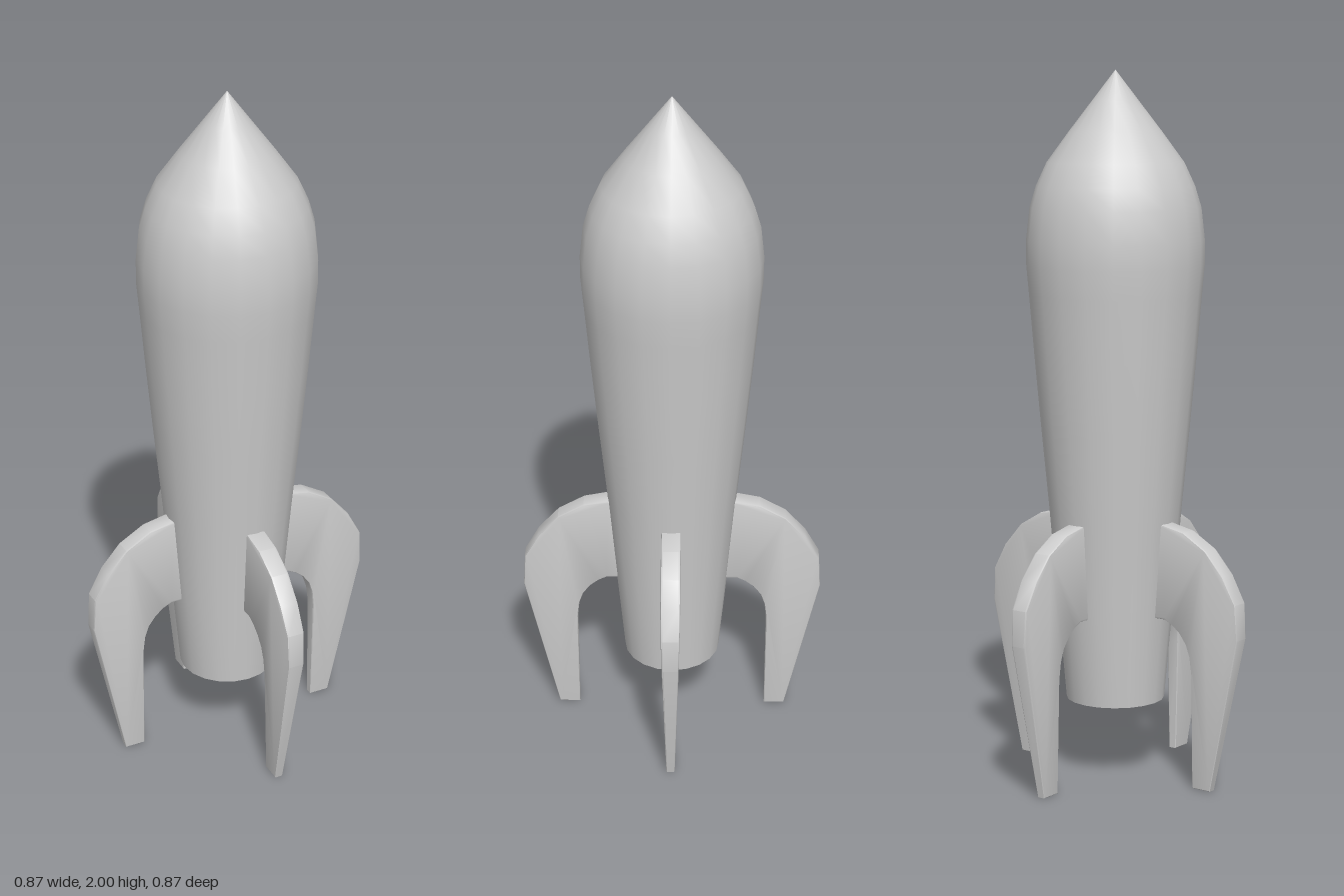
import * as THREE from 'three';
import { toCreasedNormals } from 'three/addons/utils/BufferGeometryUtils.js';

const material = new THREE.MeshStandardMaterial({ color: 0xcccccc });
const vectors = (list) => list.map(([x, y]) => new THREE.Vector2(x, y));

// Hull and hollow nozzle, turned as one closed profile
function createHull() {
  const profile = vectors([
    [0, 0.36], [0.09, 0.36], [0.09, 0.22], [0.14, 0.22],
    [0.165, 0.5], [0.188, 0.77], [0.21, 1.0], [0.228, 1.2], [0.243, 1.38],
    [0.25, 1.46], [0.25, 1.53], [0.24, 1.62], [0.222, 1.68], [0.192, 1.745],
    [0.13, 1.83], [0.065, 1.915], [0, 2],
  ]);
  const mesh = new THREE.Mesh(toCreasedNormals(new THREE.LatheGeometry(profile, 20), 0.6), material);
  mesh.name = 'hull';
  return mesh;
}

// Curved fin with a leg, bevelled all round and thinning towards its foot
function createFinGeometry() {
  const bevel = 0.006, thickness = 0.056;
  const outline = new THREE.Shape(vectors([
    [0.12, 0.477], [0.19, 0.477], [0.215, 0.465], [0.24, 0.445], [0.262, 0.415],
    [0.274, 0.38], [0.28, 0.33], [0.28, 0.003], [0.34, 0.003],
    [0.436, 0.45], [0.43, 0.55], [0.388, 0.625], [0.33, 0.69], [0.255, 0.733],
    [0.186, 0.747], [0.12, 0.747],
  ]));
  const geometry = new THREE.ExtrudeGeometry(outline, {
    depth: thickness - 2 * bevel, bevelSize: bevel, bevelOffset: -bevel,
    bevelThickness: bevel, bevelSegments: 2,
  });
  geometry.translate(0, 0, bevel - thickness / 2);
  const p = geometry.attributes.position;
  for (let i = 0; i < p.count; i++) {
    const taper = THREE.MathUtils.lerp(0.45, 1, Math.min(1, p.getY(i) / 0.6));
    p.setZ(i, p.getZ(i) * taper);
    p.setY(i, Math.max(0, p.getY(i) - 0.003));
  }
  return toCreasedNormals(geometry, 0.5);
}

export function createModel() {
  const model = new THREE.Group();
  model.name = 'rocket';
  model.add(createHull());

  // Four fins, a quarter turn apart
  const finGeometry = createFinGeometry();
  ['leftFin', 'backFin', 'rightFin', 'frontFin'].forEach((name, i) => {
    const fin = new THREE.Mesh(finGeometry, material);
    fin.name = name;
    fin.rotation.y = i * Math.PI / 2;
    model.add(fin);
  });
  return model;
}
